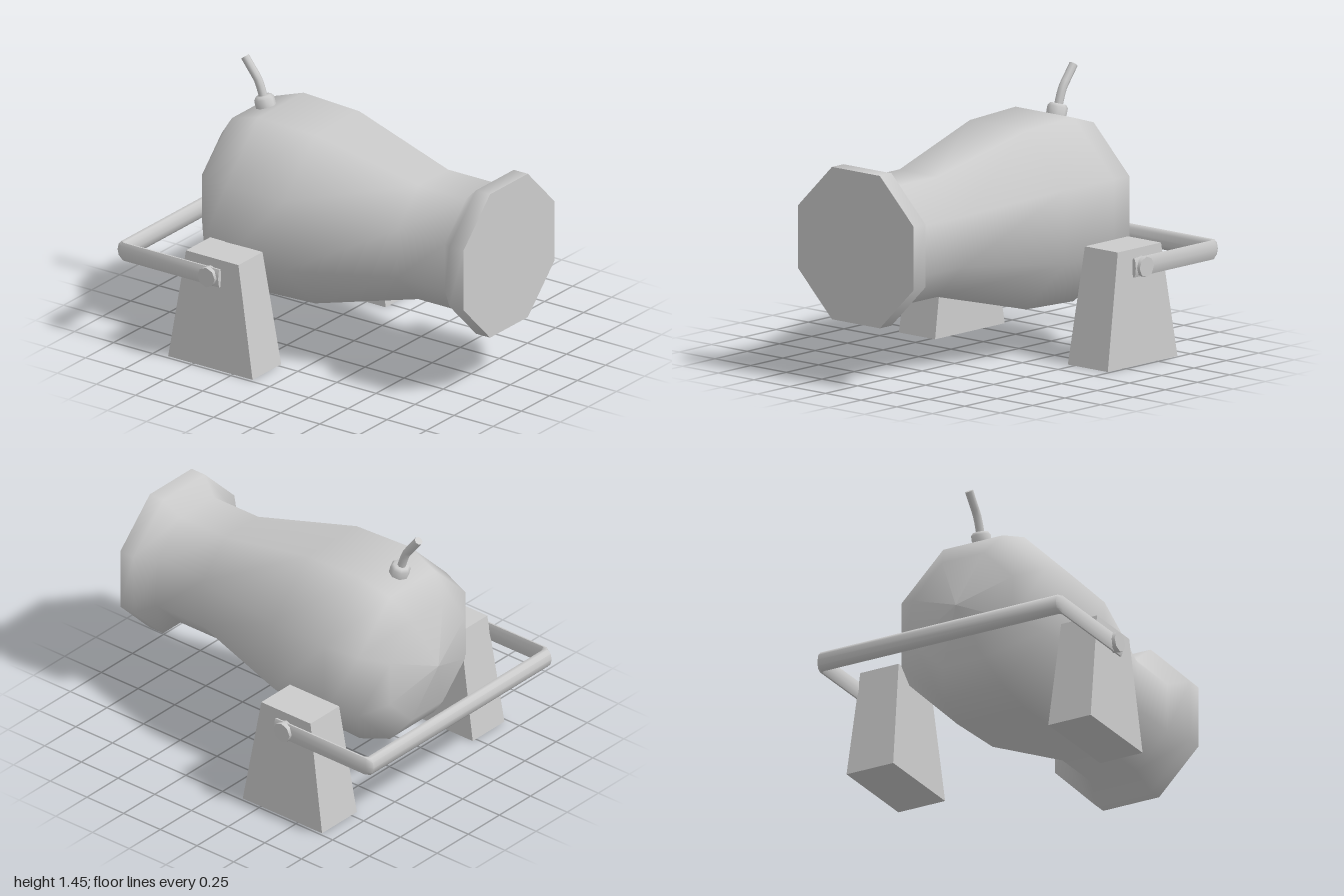
import * as THREE from 'three';
import { toCreasedNormals } from 'three/addons/utils/BufferGeometryUtils.js';

const grey = new THREE.MeshStandardMaterial({ color: 0xcccccc });
const AXIS_X = -0.012, AXIS_Y = 0.733;

function part(name, geometry, parent) {
  const mesh = new THREE.Mesh(geometry, grey);
  mesh.name = name;
  parent.add(mesh);
  return mesh;
}

// Block with a trapezoid taper; x0..x1 and z0..z1 at the foot, X0..X1 and Z0..Z1 at the top
function taperedBlock(foot, top, height) {
  const g = new THREE.BoxGeometry(1, 1, 1);
  const p = g.attributes.position;
  for (let i = 0; i < p.count; i++) {
    const up = p.getY(i) > 0;
    const [x0, x1, z0, z1] = up ? top : foot;
    p.setXYZ(i, p.getX(i) > 0 ? x1 : x0, up ? height : 0, p.getZ(i) > 0 ? z1 : z0);
  }
  g.computeVertexNormals();
  return g;
}

// Flattened bar swept through rings, each given by its inner and outer point in plan
function sweptBar(rings, y, halfHeight, sides) {
  const pos = [], index = [];
  for (const [ix, iz, ox, oz] of rings) {
    for (let j = 0; j < sides; j++) {
      const a = (j / sides) * Math.PI * 2;
      const c = (1 + Math.cos(a)) / 2;
      pos.push(ix + (ox - ix) * c, y + Math.sin(a) * halfHeight, iz + (oz - iz) * c);
    }
  }
  const last = (rings.length - 1) * sides;
  for (let i = 0; i < rings.length - 1; i++) {
    for (let j = 0; j < sides; j++) {
      const a = i * sides + j, b = i * sides + (j + 1) % sides;
      index.push(a, a + sides, b, b, a + sides, b + sides);
    }
  }
  // End caps
  for (let j = 1; j < sides - 1; j++) {
    index.push(0, j, j + 1, last, last + j + 1, last + j);
  }
  const g = new THREE.BufferGeometry();
  g.setAttribute('position', new THREE.Float32BufferAttribute(pos, 3));
  g.setIndex(index);
  return toCreasedNormals(g, Math.PI / 3);
}

export function createModel() {
  const model = new THREE.Group();
  model.name = 'lampOnStand';

  // Eight-sided housing: [distance from axis to flat, z]
  const toCorner = 1 / Math.cos(Math.PI / 8);
  const profile = [
    [0, -0.825], [0.3, -0.75], [0.43, -0.645], [0.488, -0.46], [0.475, -0.1],
    [0.32, 0.515], [0.32, 0.82], [0.405, 0.91], [0.405, 1],
  ].map(([r, z]) => new THREE.Vector2(r * toCorner, z));
  const housing = new THREE.LatheGeometry(profile, 8, Math.PI / 8);
  housing.rotateX(Math.PI / 2);
  part('housing', housing, model).position.set(AXIS_X, AXIS_Y, 0);

  // Flat front face
  const face = new THREE.CircleGeometry(0.405 * toCorner, 8, Math.PI / 8);
  part('frontFace', face, model).position.set(AXIS_X, AXIS_Y, 1);

  // Feet
  part('leftFoot', taperedBlock([0.455, 0.735, -0.665, -0.125], [0.48, 0.71, -0.565, -0.23], 0.615), model);
  part('rightFoot', taperedBlock([-0.73, -0.475, -0.665, -0.125], [-0.71, -0.495, -0.565, -0.23], 0.615), model);

  // Carrying handle, mirrored from its left half
  const half = [
    [0.708, -0.34, 0.737, -0.34],
    [0.71, -0.928, 0.737, -0.965],
    [0.705, -0.932, 0.715, -1],
  ];
  const rings = [...half, ...half.slice().reverse().map(([a, b, c, d]) => [-a, b, -c, d])];
  part('handle', sweptBar(rings, 0.517, 0.053, 10), model);

  // Pivot bolts
  for (const side of [1, -1]) {
    const bolt = new THREE.CylinderGeometry(0.055, 0.055, 0.055, 8);
    bolt.rotateZ(Math.PI / 2);
    part(side > 0 ? 'leftBolt' : 'rightBolt', toCreasedNormals(bolt, Math.PI / 3), model)
      .position.set(side * 0.728, 0.517, -0.405);
  }

  // Cable collar, tilted with the housing's back slope
  const collar = new THREE.LatheGeometry(
    [[0, -0.04], [0.054, -0.04], [0.054, 0.02], [0.042, 0.036], [0, 0.036]].map(([r, y]) => new THREE.Vector2(r, y)), 8);
  const collarMesh = part('cableCollar', toCreasedNormals(collar, Math.PI / 3), model);
  collarMesh.position.set(-0.014, 1.215, -0.56);
  collarMesh.rotation.x = -0.29;

  // Cable stub with a bend
  const path = new THREE.CatmullRomCurve3([
    [1.2, -0.56], [1.27, -0.58], [1.335, -0.607], [1.375, -0.638], [1.44, -0.688],
  ].map(([y, z]) => new THREE.Vector3(-0.014, y, z)));
  part('cable', new THREE.TubeGeometry(path, 8, 0.023, 8), model);
  const end = part('cableEnd', new THREE.CircleGeometry(0.023, 8), model);
  end.position.copy(path.getPoint(1));
  end.quaternion.setFromUnitVectors(new THREE.Vector3(0, 0, 1), path.getTangent(1));

  return model;
}
